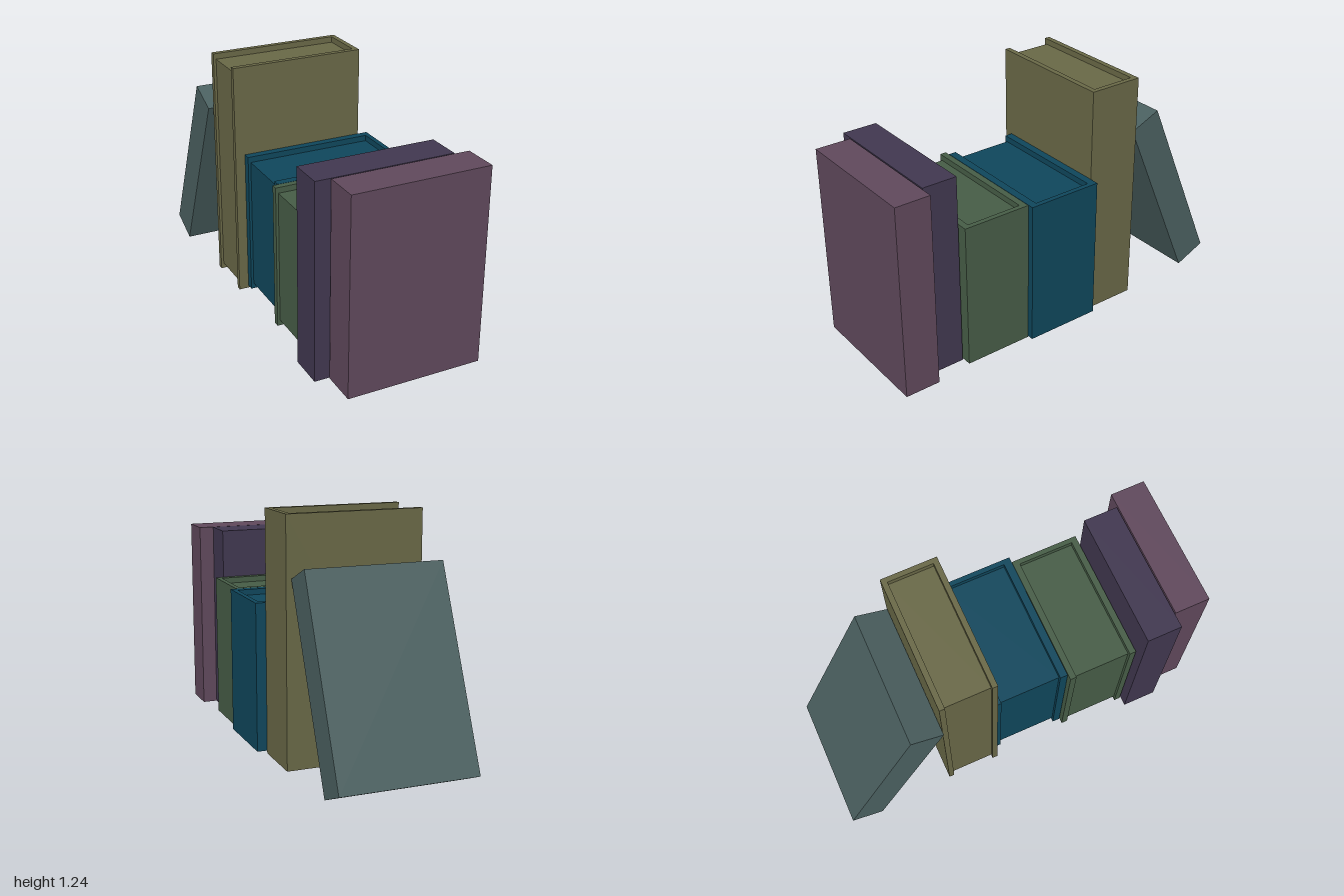
import * as THREE from 'three';

function mat(color) {
  return new THREE.MeshStandardMaterial({ color });
}

// Plain closed book: one solid block
function solidBook(name, color, x0, x1, y0, y1, z0, z1) {
  const mesh = new THREE.Mesh(new THREE.BoxGeometry(x1 - x0, y1 - y0, z1 - z0), mat(color));
  mesh.position.set((x0 + x1) / 2, (y0 + y1) / 2, (z0 + z1) / 2);
  mesh.name = name;
  return mesh;
}

// Hardback: U-shaped cover with its spine at +x, and a recessed page block
function hardback(name, color, x0, x1, y0, y1, z0, z1, board) {
  const spine = 0.026, foreEdge = 0.014, recess = 0.03;
  const book = new THREE.Group();
  book.name = name;

  // Outline drawn in x and -z, then extruded upwards
  const outline = [
    [x0, z0], [x0, z0 + board], [x1 - spine, z0 + board], [x1 - spine, z1 - board],
    [x0, z1 - board], [x0, z1], [x1, z1], [x1, z0],
  ].map(([x, z]) => new THREE.Vector2(x, -z));
  const geometry = new THREE.ExtrudeGeometry(new THREE.Shape(outline), { depth: y1 - y0, bevelEnabled: false });
  geometry.rotateX(-Math.PI / 2);
  geometry.translate(0, y0, 0);
  const cover = new THREE.Mesh(geometry, mat(color));
  cover.name = 'cover';

  const pages = solidBook('pages', color, x0 + foreEdge, x1 - spine,
    y0 + recess, y1 - recess, z0 + board, z1 - board);
  book.add(cover, pages);
  return book;
}

export function createModel() {
  const model = new THREE.Group();
  model.name = 'bookRow';

  // Standing books, front to back
  model.add(
    solidBook('plumBook', 0x5f485b, -0.315, 0.385, 0.015, 1.03, 0.818, 1),
    solidBook('violetBook', 0x40374f, -0.39, 0.31, 0.015, 1.03, 0.632, 0.812),
    hardback('greenBook', 0x465c46, -0.342, 0.356, 0.016, 0.776, 0.264, 0.625, 0.033),
    hardback('blueBook', 0x0f465b, -0.314, 0.386, 0.018, 0.776, -0.138, 0.262, 0.04),
    hardback('oliveBook', 0x686746, -0.364, 0.335, 0.004, 1.24, -0.428, -0.14, 0.028),
  );

  // Book leaning against the back of the row
  const leaning = solidBook('leaningBook', 0x4a5f5f, -0.39, 0.31, 0, 1.019, -0.0895, 0.0895);
  leaning.position.set(-0.04, 0.507, -0.715);
  leaning.rotation.x = 0.409;
  model.add(leaning);

  return model;
}
